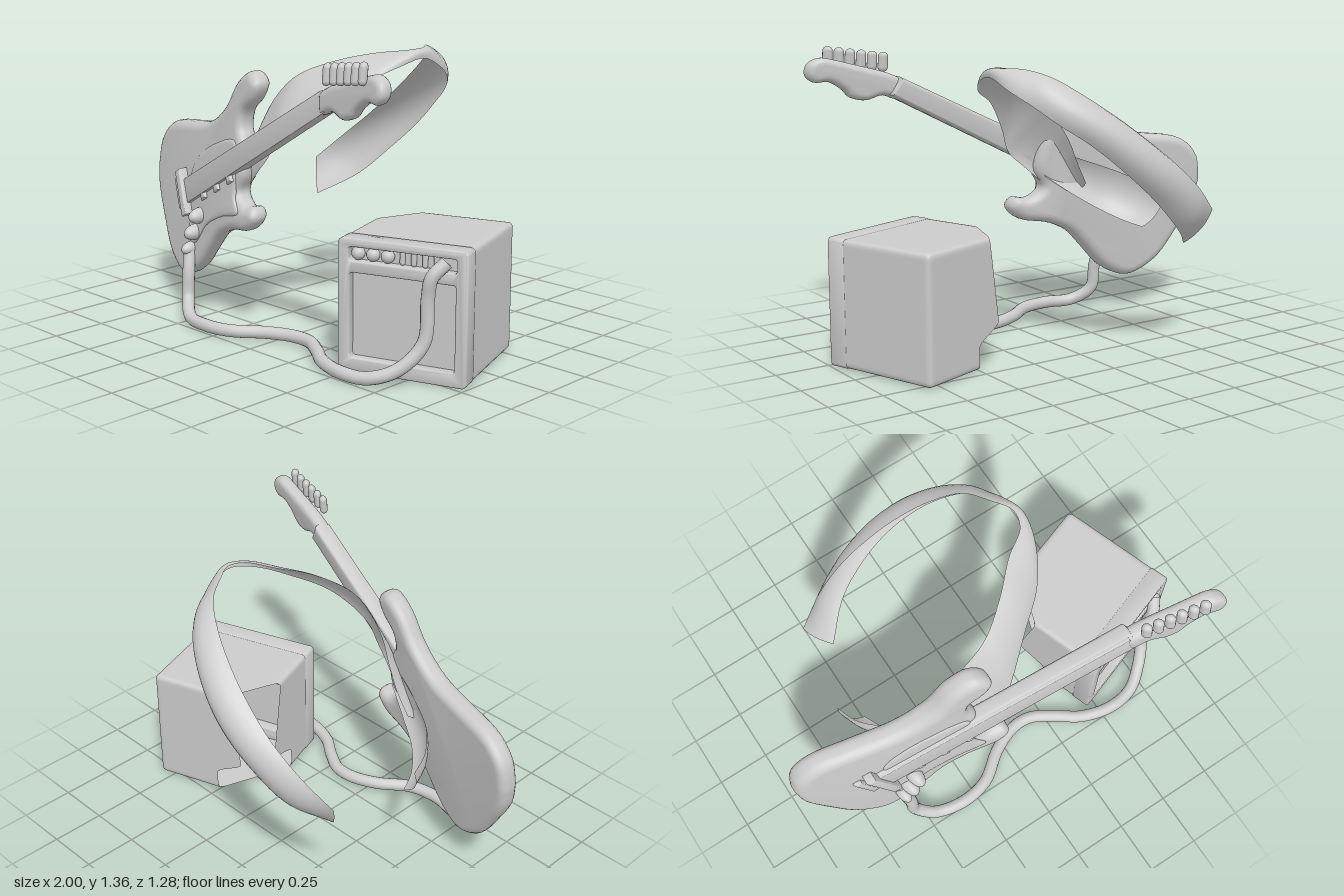
import * as THREE from 'three';
import { toCreasedNormals } from 'three/addons/utils/BufferGeometryUtils.js';

const grey = new THREE.MeshStandardMaterial({ color: 0xcccccc });
const greyThin = new THREE.MeshStandardMaterial({ color: 0xcccccc, side: THREE.DoubleSide });

// The guitar is drawn face-on, then leaned into its sloping plane.
const LEAN = new THREE.Matrix4().set(
  1, 0, 0, 0,
  0, 1, 0, 0,
  0.247, -0.11, 1, 0.468,
  0, 0, 0, 1);

function add(parent, name, geometry, material = grey) {
  const mesh = new THREE.Mesh(geometry, material);
  mesh.name = name;
  parent.add(mesh);
  return mesh;
}

const vec2s = (pts) => pts.map(([x, y]) => new THREE.Vector2(x, y));
const vec3s = (pts) => pts.map((p) => new THREE.Vector3(...p));

// Closed smooth outline through a few points
function smoothOutline(pts, n) {
  return new THREE.SplineCurve(vec2s([...pts, pts[0]])).getPoints(n).slice(0, -1);
}

// Rounded plate between two depths
function plate(outline, back, front, bevel, inset = bevel) {
  const g = new THREE.ExtrudeGeometry(new THREE.Shape(outline), {
    depth: front - back - 2 * bevel, bevelThickness: bevel,
    bevelSize: inset, bevelOffset: -inset, bevelSegments: 5,
  });
  g.translate(0, 0, back + bevel);
  return toCreasedNormals(g, 0.7);
}

// Point at distance s along the neck from the bridge, t across it
const onNeck = (s, t) => [-0.64 + 0.888 * s - 0.46 * t, 0.58 + 0.46 * s + 0.888 * t];
const neckQuad = (s0, s1, t0, t1, t2 = t0, t3 = t1) =>
  vec2s([onNeck(s0, t0), onNeck(s1, t2), onNeck(s1, t3), onNeck(s0, t1)]);

function makeGuitar() {
  const guitar = new THREE.Group();
  guitar.name = 'guitar';
  const put = (name, g) => add(guitar, name, g.applyMatrix4(LEAN));

  put('guitarBody', plate(smoothOutline([
    [-1.0, 0.65], [-0.975, 0.78], [-0.87, 0.87], [-0.68, 0.9], [-0.5, 0.93], [-0.36, 1.02],
    [-0.27, 1.14], [-0.165, 1.2], [-0.09, 1.155], [-0.12, 1.08], [-0.19, 1.02], [-0.205, 0.95],
    [-0.17, 0.88], [-0.15, 0.75], [-0.19, 0.66], [-0.13, 0.61], [-0.06, 0.615], [-0.035, 0.565],
    [-0.1, 0.505], [-0.23, 0.48], [-0.34, 0.43], [-0.42, 0.35], [-0.52, 0.24], [-0.63, 0.18],
    [-0.72, 0.195], [-0.82, 0.27], [-0.91, 0.41], [-0.98, 0.54],
  ], 120), -0.055, 0.055, 0.042));

  put('pickguard', plate(smoothOutline([
    [-0.31, 0.88], [-0.5, 0.8], [-0.62, 0.68], [-0.61, 0.5], [-0.6, 0.36], [-0.53, 0.36],
    [-0.44, 0.46], [-0.3, 0.53], [-0.16, 0.57], [-0.2, 0.64], [-0.2, 0.75], [-0.22, 0.88],
  ], 60), 0.02, 0.063, 0.012, 0.02));

  put('neck', plate(neckQuad(0, 1.3, -0.062, 0.062, -0.047, 0.047), -0.005, 0.078, 0.024, 0.018));
  put('fretboard', plate(neckQuad(0, 1.28, -0.058, 0.058, -0.046, 0.046), 0.05, 0.082, 0.005));
  put('bridge', plate(neckQuad(-0.03, 0.015, -0.11, 0.11), 0.03, 0.105, 0.01));
  put('bridgeTail', plate(neckQuad(-0.095, -0.055, -0.06, 0.09), 0.03, 0.075, 0.01));
  for (const s of [0.16, 0.29, 0.42])
    put('pickup', plate(neckQuad(s - 0.025, s + 0.025, -0.085, 0.05), 0.03, 0.08, 0.02));

  put('headstock', plate(smoothOutline([
    [0.46, 1.2], [0.545, 1.24], [0.67, 1.275], [0.78, 1.305], [0.84, 1.315], [0.89, 1.29],
    [0.9, 1.24], [0.865, 1.205], [0.8, 1.205], [0.74, 1.17], [0.7, 1.13], [0.635, 1.115],
    [0.56, 1.135], [0.48, 1.115],
  ], 70), 0.012, 0.088, 0.03));

  for (let i = 0; i < 6; i++) {
    const g = new THREE.CapsuleGeometry(0.021, 0.05, 6, 12);
    put('tuningPeg', g.translate(0.535 + i * 0.05, 1.283 + i * 0.0068, 0.095));
  }

  // Two knobs and the cable socket
  for (const [x, y, r] of [[-0.5, 0.495, 0.037], [-0.535, 0.41, 0.037], [-0.57, 0.325, 0.031]]) {
    const g = new THREE.SphereGeometry(r, 20, 14).scale(1, 1, 1.8);
    put('knob', g.translate(x, y, 0.062));
  }
  return guitar;
}

// Thin band between two edge curves, bulging away from a centre
function ribbon(edgeA, edgeB, centre, bulgeAt) {
  const a = new THREE.CatmullRomCurve3(vec3s(edgeA));
  const b = new THREE.CatmullRomCurve3(vec3s(edgeB));
  const g = new THREE.PlaneGeometry(1, 1, 90, 10);
  const pos = g.attributes.position;
  for (let i = 0; i < pos.count; i++) {
    const u = pos.getX(i) + 0.5, v = pos.getY(i) + 0.5;
    const p = a.getPoint(u).lerp(b.getPoint(u), v);
    const out = p.clone().sub(centre).normalize();
    p.addScaledVector(out, bulgeAt(u) * 4 * v * (1 - v));
    pos.setXYZ(i, p.x, p.y, p.z);
  }
  g.computeVertexNormals();
  return g;
}

function makeStrap() {
  const strap = new THREE.Group();
  strap.name = 'strap';
  const centre = new THREE.Vector3(-0.05, 0.9, -0.15);
  // Lower edge, then upper edge; the far side is strongly cupped
  add(strap, 'strapLoop', ribbon([
    [-0.26, 0.61, 0.285], [-0.18, 0.69, 0.32], [-0.1, 0.765, 0.345], [-0.02, 0.84, 0.36], [0.03, 0.95, 0.335],
    [0.16, 1.1, 0.23], [0.3, 1.17, 0.11], [0.385, 1.235, -0.03],
    [0.412, 1.265, -0.16], [0.4, 1.22, -0.28], [0.35, 1.16, -0.39], [0.28, 1.09, -0.47],
    [0.16, 1.0, -0.54], [0, 0.865, -0.585], [-0.16, 0.73, -0.58], [-0.33, 0.58, -0.525], [-0.475, 0.48, -0.39],
  ], [
    [-0.36, 0.68, 0.2], [-0.3, 0.79, 0.19], [-0.25, 0.9, 0.19], [-0.17, 1.03, 0.21], [-0.02, 1.18, 0.19],
    [0.12, 1.25, 0.09], [0.245, 1.285, -0.03], [0.355, 1.3, -0.11],
    [0.375, 1.305, -0.19], [0.32, 1.305, -0.28], [0.25, 1.275, -0.385], [0.14, 1.2, -0.46],
    [0, 1.1, -0.515], [-0.14, 0.995, -0.545], [-0.29, 0.88, -0.555], [-0.44, 0.76, -0.53], [-0.57, 0.64, -0.475],
  ], centre, (u) => 0.02 + 0.055 * Math.max(0, Math.sin(Math.PI * (u - 0.6) / 0.4))), greyThin);
  add(strap, 'strapEnd', ribbon([
    [-0.64, 0.65, -0.06], [-0.6, 0.68, 0.05], [-0.51, 0.73, 0.15], [-0.36, 0.79, 0.22], [-0.22, 0.84, 0.27],
  ], [
    [-0.54, 0.48, -0.01], [-0.5, 0.5, 0.08], [-0.42, 0.55, 0.17], [-0.3, 0.63, 0.235], [-0.18, 0.72, 0.29],
  ], centre, () => 0.035), greyThin);
  return strap;
}

// Rounded hollow cabinet, broken open at its rear corner
function cabinetShell(w, h, d, r) {
  const g = new THREE.BoxGeometry(w, h, d, 48, 48, 48);
  const pos = g.attributes.position;
  const half = new THREE.Vector3(w / 2 - r, h / 2 - r, d / 2 - r);
  const p = new THREE.Vector3(), inner = new THREE.Vector3();
  const beyond = [];
  for (let i = 0; i < pos.count; i++) {
    p.fromBufferAttribute(pos, i);
    inner.copy(p).clamp(half.clone().negate(), half);
    p.sub(inner).setLength(r).add(inner);
    pos.setXYZ(i, p.x, p.y, p.z);
    // Distance past the broken edge, which wanders with height
    const y = p.y + h / 2;
    const reach = y < 0.19
      ? THREE.MathUtils.lerp(1.45, 0.65, THREE.MathUtils.smoothstep(y, 0.1, 0.19))
      : THREE.MathUtils.mapLinear(y, 0.19, h, 0.65, 1);
    beyond.push(reach - (p.x + w / 2) / 0.167 - (p.z + d / 2) / 0.217);
  }
  // Keep the triangles that reach the edge and pull their corners back to it
  const index = g.index.array, kept = [];
  for (let i = 0; i < index.length; i += 3) {
    const tri = [index[i], index[i + 1], index[i + 2]];
    if (tri.some((k) => beyond[k] <= 0)) kept.push(...tri);
  }
  for (const k of new Set(kept)) {
    if (beyond[k] <= 0) continue;
    const onLid = Math.abs(pos.getY(k)) > h / 2 - r;
    const onSide = pos.getX(k) < r - w / 2;
    const alongX = onLid ? 0.5 : onSide ? 0 : 1;
    pos.setX(k, pos.getX(k) + beyond[k] * 0.167 * alongX);
    pos.setZ(k, pos.getZ(k) + beyond[k] * 0.217 * (1 - alongX));
  }
  g.setIndex(kept);
  return toCreasedNormals(g, 0.6);
}

function roundedRect(path, x0, y0, x1, y1, r) {
  path.absarc(x1 - r, y1 - r, r, 0, Math.PI / 2);
  path.absarc(x0 + r, y1 - r, r, Math.PI / 2, Math.PI);
  path.absarc(x0 + r, y0 + r, r, Math.PI, Math.PI * 1.5);
  path.absarc(x1 - r, y0 + r, r, Math.PI * 1.5, Math.PI * 2);
  path.closePath();
  return path;
}

function makeAmplifier() {
  const amp = new THREE.Group();
  amp.name = 'amplifier';
  amp.position.set(0.635, 0, 0.05);
  amp.rotation.y = 0.335;

  add(amp, 'cabinet', cabinetShell(0.57, 0.572, 0.53, 0.02), greyThin).position.set(0, 0.294, -0.018);

  // Front frame with openings for the speaker grille and the controls
  const frame = roundedRect(new THREE.Shape(), -0.28, 0.013, 0.28, 0.575, 0.015);
  frame.holes.push(roundedRect(new THREE.Path(), -0.243, 0.06, 0.243, 0.445, 0.02));
  frame.holes.push(roundedRect(new THREE.Path(), -0.247, 0.48, 0.247, 0.555, 0.02));
  const g = new THREE.ExtrudeGeometry(frame, {
    depth: 0.077, bevelThickness: 0.008, bevelSize: 0.008, bevelSegments: 4,
  });
  add(amp, 'frontFrame', toCreasedNormals(g, 0.7)).position.z = 0.202;

  for (const x of [-0.205, -0.138, -0.072])
    add(amp, 'controlKnob', new THREE.SphereGeometry(0.029, 18, 12)).position.set(x, 0.518, 0.26);
  for (const x of [-0.01, 0.04, 0.09, 0.14])
    add(amp, 'switch', new THREE.CapsuleGeometry(0.012, 0.04, 5, 10)).position.set(x, 0.518, 0.252);
  return amp;
}

function makeCable() {
  const path = new THREE.CatmullRomCurve3(vec3s([
    [-0.57, 0.325, 0.36], [-0.55, 0.22, 0.385], [-0.54, 0.1, 0.4], [-0.46, 0.038, 0.455],
    [-0.32, 0.035, 0.485], [-0.18, 0.035, 0.46], [-0.04, 0.035, 0.36], [0.08, 0.035, 0.31],
    [0.18, 0.034, 0.31], [0.29, 0.032, 0.37], [0.4, 0.032, 0.445], [0.55, 0.032, 0.485],
    [0.68, 0.036, 0.465], [0.78, 0.08, 0.39], [0.845, 0.19, 0.31], [0.855, 0.38, 0.3],
    [0.875, 0.47, 0.3], [0.91, 0.53, 0.25],
  ]));
  return new THREE.TubeGeometry(path, 140, 0.029, 14);
}

export function createModel() {
  const model = new THREE.Group();
  model.name = 'guitarAndAmplifier';
  model.add(makeGuitar(), makeStrap(), makeAmplifier());
  add(model, 'cable', makeCable(), greyThin);
  return model;
}
